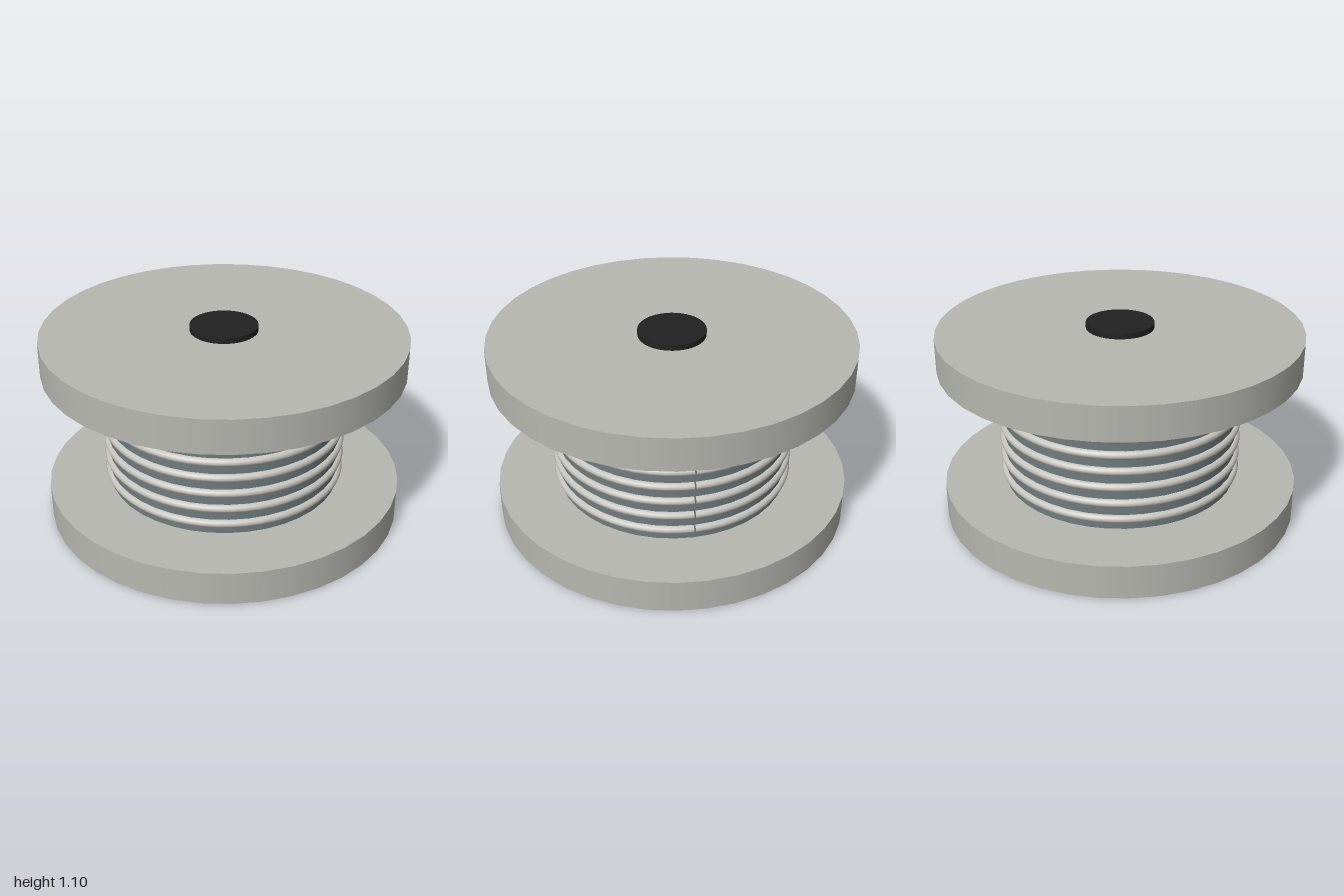
import * as THREE from 'three';

const mat = (name, color) => {
  const m = new THREE.MeshStandardMaterial({ color });
  m.name = name;
  return m;
};

export function createModel() {
  const group = new THREE.Group();
  group.name = 'spool';
  const flangeGrey = mat('flangeGrey', 0xb8b8b2);
  const drumSteel = mat('drumSteel', 0x707c7e);
  const wireGrey = mat('wireGrey', 0xc8c6c0);
  const capBlack = mat('capBlack', 0x222222);

  // Upright cylinder spanning y0 to y1
  const disc = (name, r, y0, y1, material) => {
    const mesh = new THREE.Mesh(new THREE.CylinderGeometry(r, r, y1 - y0, 40), material);
    mesh.name = name;
    mesh.position.y = (y0 + y1) / 2;
    group.add(mesh);
  };

  disc('bottomFlange', 1, 0, 0.19, flangeGrey);
  disc('drum', 0.655, 0.19, 0.88, drumSteel);
  disc('topFlange', 1, 0.88, 1.067, flangeGrey);
  disc('axleCap', 0.187, 1.067, 1.098, capBlack);

  // Seven turns of wire, each with a fine seam on the +x side
  const gap = 0.012;
  const turn = new THREE.TorusGeometry(0.655, 0.024, 10, 56, Math.PI * 2 - gap);
  turn.rotateZ(gap / 2).rotateX(Math.PI / 2);
  for (let i = 0; i < 7; i++) {
    const mesh = new THREE.Mesh(turn, wireGrey);
    mesh.name = `wireTurn${i + 1}`;
    mesh.position.y = 0.252 + i * 0.0938;
    group.add(mesh);
  }
  return group;
}
